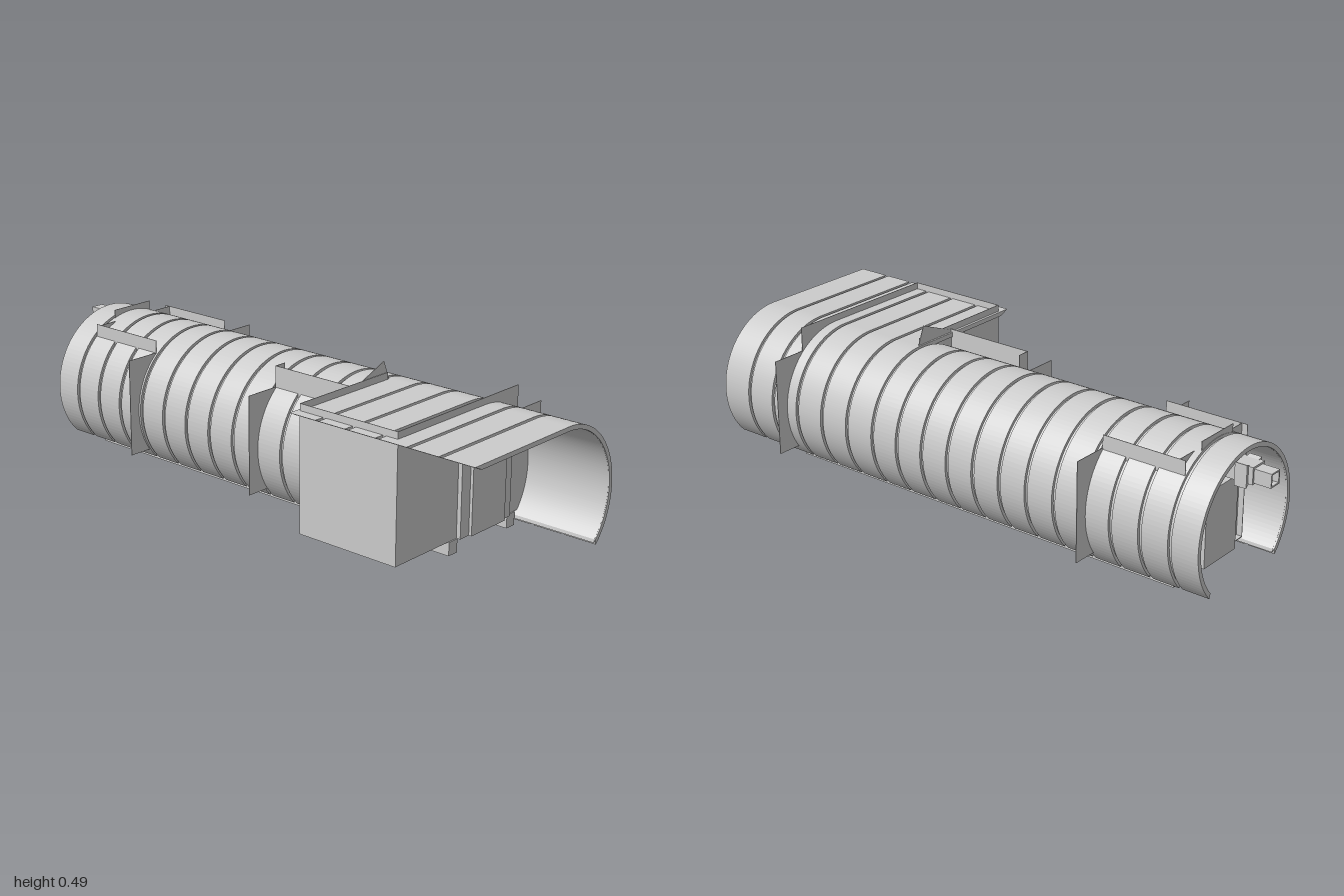
import * as THREE from 'three';

const CX = 0.076, CY = 0.182;          // axis of the curved shell
const LOW = -0.73;                     // angle where the shell ends near the ground
const mat = new THREE.MeshStandardMaterial({ color: 0xcccccc, side: THREE.DoubleSide });

export function createModel() {
  const group = new THREE.Group();

  const add = (name, geometry) => {
    const mesh = new THREE.Mesh(geometry, mat);
    mesh.name = name;
    group.add(mesh);
    return mesh;
  };
  // Box given by its limits
  const box = (name, x0, x1, y0, y1, z0, z1) => {
    const mesh = add(name, new THREE.BoxGeometry(x1 - x0, y1 - y0, z1 - z0));
    mesh.position.set((x0 + x1) / 2, (y0 + y1) / 2, (z0 + z1) / 2);
    return mesh;
  };
  const T = 0.001;
  const crossWall = (name, x0, x1, y0, y1, z) => box(name, x0, x1, y0, y1, z - T, z + T);
  const sideWall = (name, x, y0, y1, z0, z1) => box(name, x - T, x + T, y0, y1, z0, z1);
  const extrude = (name, shape, z0, z1) => {
    const geometry = new THREE.ExtrudeGeometry(shape, { depth: z1 - z0, bevelEnabled: false, curveSegments: 40 });
    geometry.translate(0, 0, z0);
    return add(name, geometry);
  };

  // Shell sections: a horseshoe for the tunnel, a flat roof with one curved side for the front
  const horseshoe = (ro, ri) => {
    const s = new THREE.Shape();
    s.absarc(CX, CY, ro, LOW - 0.04, Math.PI - LOW + 0.04, false);
    s.absarc(CX, CY, ri, Math.PI - LOW, LOW, true);
    return s;
  };
  const canopy = (ro, ri, left) => {
    const s = new THREE.Shape();
    s.absarc(CX, CY, ro, LOW - 0.04, Math.PI / 2, false);
    s.lineTo(left, CY + ro);
    s.lineTo(-0.33, CY + ri);
    s.absarc(CX, CY, ri, Math.PI / 2, LOW, true);
    return s;
  };

  // Continuous inner liner and separate outer panels with grooves between
  const RO = 0.243, RG = 0.234, RI = 0.228, GAP = 0.012;
  extrude('tunnelLiner', horseshoe(RG, RI), -0.885, 0.34);
  extrude('canopyLiner', canopy(RG, RI, -0.345), 0.34, 0.997);
  for (let i = 0; i < 12; i++) {
    const z = -0.89 + i * 0.1025;
    extrude('tunnelPanel', horseshoe(RO, RI + 0.0005), z, z + 0.1025 - GAP);
  }
  for (let i = 0; i < 6; i++) {
    const z = 0.34 + i * 0.11;
    extrude('canopyPanel', canopy(RO, RI + 0.0005, -0.362), z, z + 0.11 - (i < 5 ? GAP : 0));
  }

  // Inner corridor with chamfered top, and the stepped door blocks at both ends
  const corridor = new THREE.Shape([
    [-0.045, 0.043], [0.2, 0.043], [0.2, 0.338], [0.16, 0.367], [-0.005, 0.367], [-0.045, 0.338],
  ].map(([x, y]) => new THREE.Vector2(x, y)));
  extrude('corridor', corridor, -0.765, 0.725);
  box('backDoor', -0.004, 0.16, 0.043, 0.285, -0.81, -0.76);
  box('frontDoor', -0.004, 0.16, 0.043, 0.285, 0.72, 0.735);

  // Floor and the two long skids
  box('floor', -0.082, 0.238, 0.042, 0.045, -0.785, 0.71);
  box('skid', -0.085, -0.045, 0, 0.043, -0.76, 0.715);
  box('skid', 0.2, 0.239, 0, 0.043, -0.76, 0.715);

  // Side room under the canopy, open above
  box('roomFloor', -0.327, -0.08, 0.042, 0.045, 0.35, 0.71);
  sideWall('roomSideWall', -0.326, 0.043, 0.447, 0.35, 0.71);
  crossWall('roomFrontWall', -0.327, 0.238, 0.043, 0.447, 0.71);
  crossWall('roomBackWall', -0.327, 0.07, 0.043, 0.447, 0.35);
  crossWall('frontWing', 0.2, 0.36, 0.043, 0.367, 0.71);

  // Tilted panel breaking through the roof behind the room
  const tilted = crossWall('tiltedPanel', -0.11, 0.11, -0.07, 0, 0);
  tilted.geometry.translate(0, -0.035, 0);
  tilted.position.set(-0.049, 0.445, 0.347);
  tilted.rotation.z = 0.38;

  // Middle bay
  sideWall('middleSideWall', -0.082, 0.043, 0.435, 0.03, 0.35);
  crossWall('middleWing', -0.204, -0.08, 0.043, 0.367, 0.03);
  crossWall('middleWall', -0.082, -0.04, 0.043, 0.435, 0.03);

  // Rear bay
  for (const x of [-0.082, 0.238]) sideWall('rearSideWall', x, 0.043, 0.408, -0.785, -0.5);
  crossWall('rearWing', -0.204, 0.36, 0.043, 0.367, -0.5);
  crossWall('rearWall', -0.082, 0.238, 0.043, 0.408, -0.765);
  crossWall('rearRoofPlate', 0.0, 0.16, 0.36, 0.44, -0.785);

  // Square pipe with a flared collar at the rear
  const squareRing = (hw, hh, t) => {
    const s = new THREE.Shape();
    s.moveTo(-hw, -hh).lineTo(hw, -hh).lineTo(hw, hh).lineTo(-hw, hh).closePath();
    const h = new THREE.Path();
    h.moveTo(t - hw, t - hh).lineTo(t - hw, hh - t).lineTo(hw - t, hh - t).lineTo(hw - t, t - hh).closePath();
    s.holes.push(h);
    return s;
  };
  extrude('pipe', squareRing(0.022, 0.022, 0.005), -1, -0.8).position.set(0.113, 0.37, 0);
  extrude('pipeBody', squareRing(0.03, 0.027, 0.006), -0.945, -0.8).position.set(0.113, 0.372, 0);
  for (const side of [-1, 1]) {
    const fin = new THREE.Shape([
      [0.024, -0.028], [0.038, -0.04], [0.038, 0.032], [0.024, 0.027],
    ].map(([x, y]) => new THREE.Vector2(side * x, y)));
    extrude('pipeCollar', fin, -0.93, -0.89).position.set(0.113, 0.372, 0);
  }
  return group;
}
